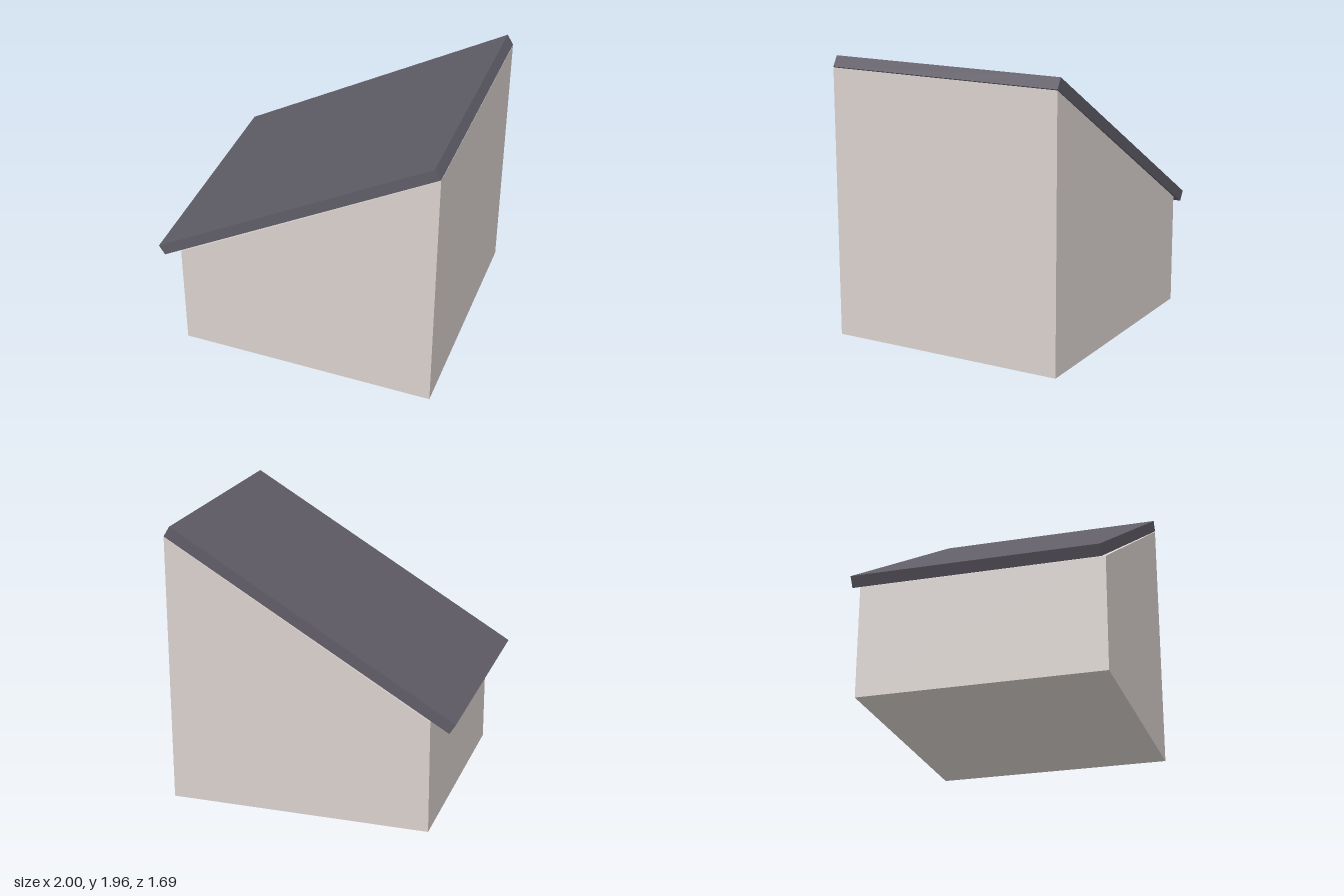
import * as THREE from 'three';

const DEPTH = 1.69;

// Extrudes an x/y outline along z, centred on z = 0
function slab(name, points, depth, color) {
  const shape = new THREE.Shape(points.map(([x, y]) => new THREE.Vector2(x, y)));
  const geometry = new THREE.ExtrudeGeometry(shape, { depth, bevelEnabled: false });
  geometry.translate(0, 0, -depth / 2);
  const mesh = new THREE.Mesh(geometry, new THREE.MeshStandardMaterial({ color }));
  mesh.name = name;
  return mesh;
}

export function createModel() {
  const group = new THREE.Group();
  group.name = 'leanToShed';

  // Solid body with a sloping top
  group.add(slab('walls', [[-0.83, 0], [1, 0], [1, 1.88], [-0.83, 0.79]], DEPTH - 0.002, 0xd8d0cd));

  // Tilted roof board, overhanging the low wall
  group.add(slab('roof', [[-0.958, 0.727], [1, 1.885], [0.957, 1.955], [-1, 0.795]], DEPTH, 0x5f5c66));

  return group;
}
